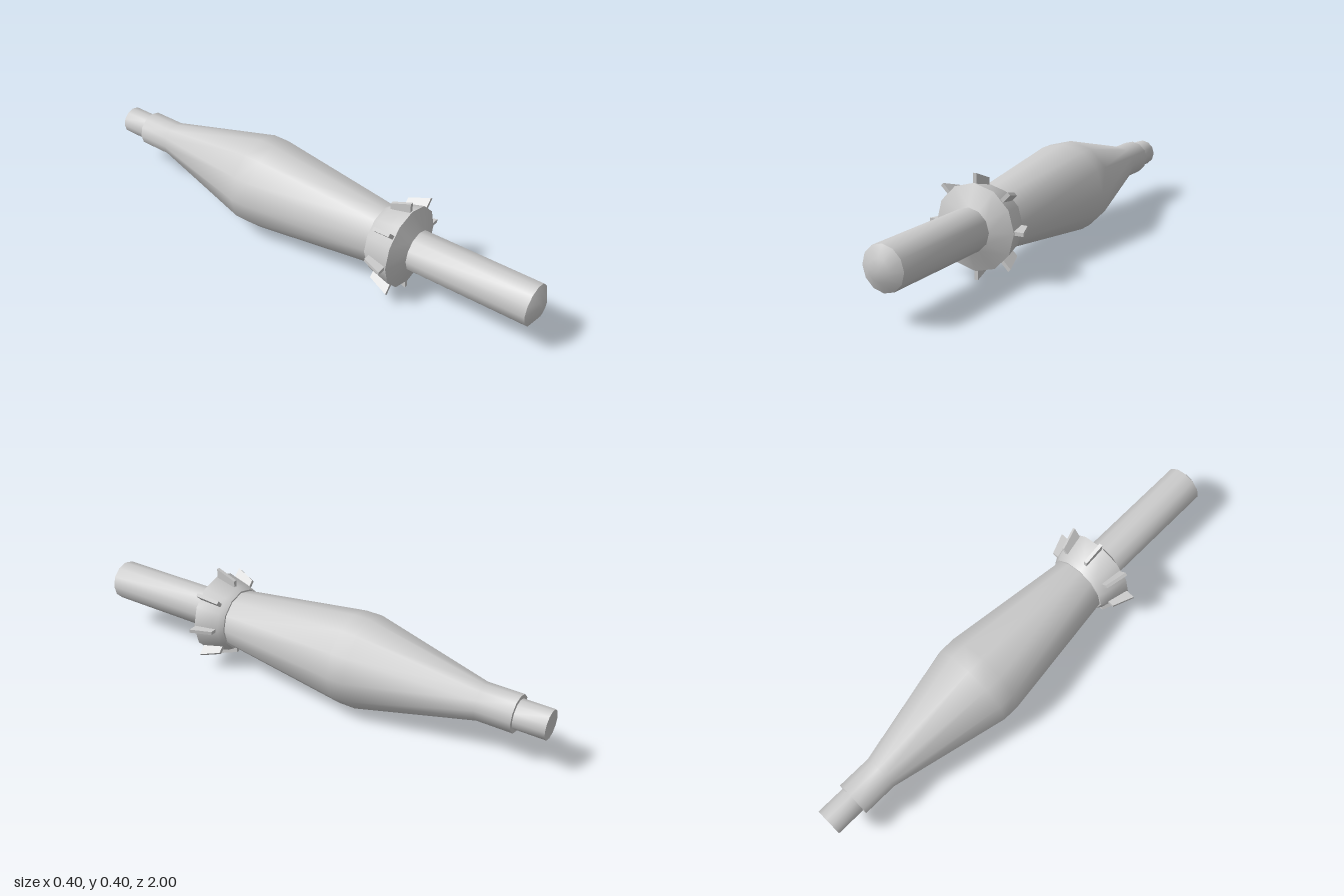
import * as THREE from 'three';
import { toCreasedNormals } from 'three/addons/utils/BufferGeometryUtils.js';

const SIDES = 12;
const AXIS_Y = 0.2;
const FINS = 8;
const FIN_THICKNESS = 0.014;

export function createModel() {
  const model = new THREE.Group();
  const grey = new THREE.MeshStandardMaterial({ color: 0xcccccc });

  // Turned part along z; profile is [radius, z] from back to front
  function turned(name, profile) {
    const points = profile.map(([r, z]) => new THREE.Vector2(r, z));
    const geometry = new THREE.LatheGeometry(points, SIDES);
    geometry.rotateX(Math.PI / 2);
    const mesh = new THREE.Mesh(toCreasedNormals(geometry, THREE.MathUtils.degToRad(33)), grey);
    mesh.name = name;
    mesh.position.y = AXIS_Y;
    model.add(mesh);
  }

  turned('rearPlug', [[0, -1], [0.057, -1], [0.057, -0.87]]);
  turned('body', [
    [0.05, -0.88], [0.073, -0.88], [0.073, -0.74],
    [0.185, -0.265], [0.185, -0.195], [0.119, 0.34],
  ]);
  turned('collar', [
    [0.115, 0.336], [0.126, 0.336], [0.139, 0.358], [0.163, 0.455], [0.082, 0.49],
  ]);
  turned('frontTube', [[0.082, 0.48], [0.082, 0.972], [0.04, 0.995], [0, 1]]);

  // Wedge-shaped fins around the collar, drawn as (z, radius)
  const outline = new THREE.Shape([
    new THREE.Vector2(0.365, 0.12),
    new THREE.Vector2(0.45, 0.12),
    new THREE.Vector2(0.45, 0.198),
    new THREE.Vector2(0.365, 0.165),
  ]);
  const finGeometry = new THREE.ExtrudeGeometry(outline, { depth: FIN_THICKNESS, bevelEnabled: false });
  finGeometry.translate(0, 0, -FIN_THICKNESS / 2);
  finGeometry.rotateY(-Math.PI / 2);

  const fins = new THREE.Group();
  fins.name = 'fins';
  fins.position.y = AXIS_Y;
  for (let i = 0; i < FINS; i++) {
    const fin = new THREE.Mesh(finGeometry, grey);
    fin.name = 'fin';
    fin.rotation.z = (i / FINS) * Math.PI * 2;
    fins.add(fin);
  }
  model.add(fins);

  return model;
}
